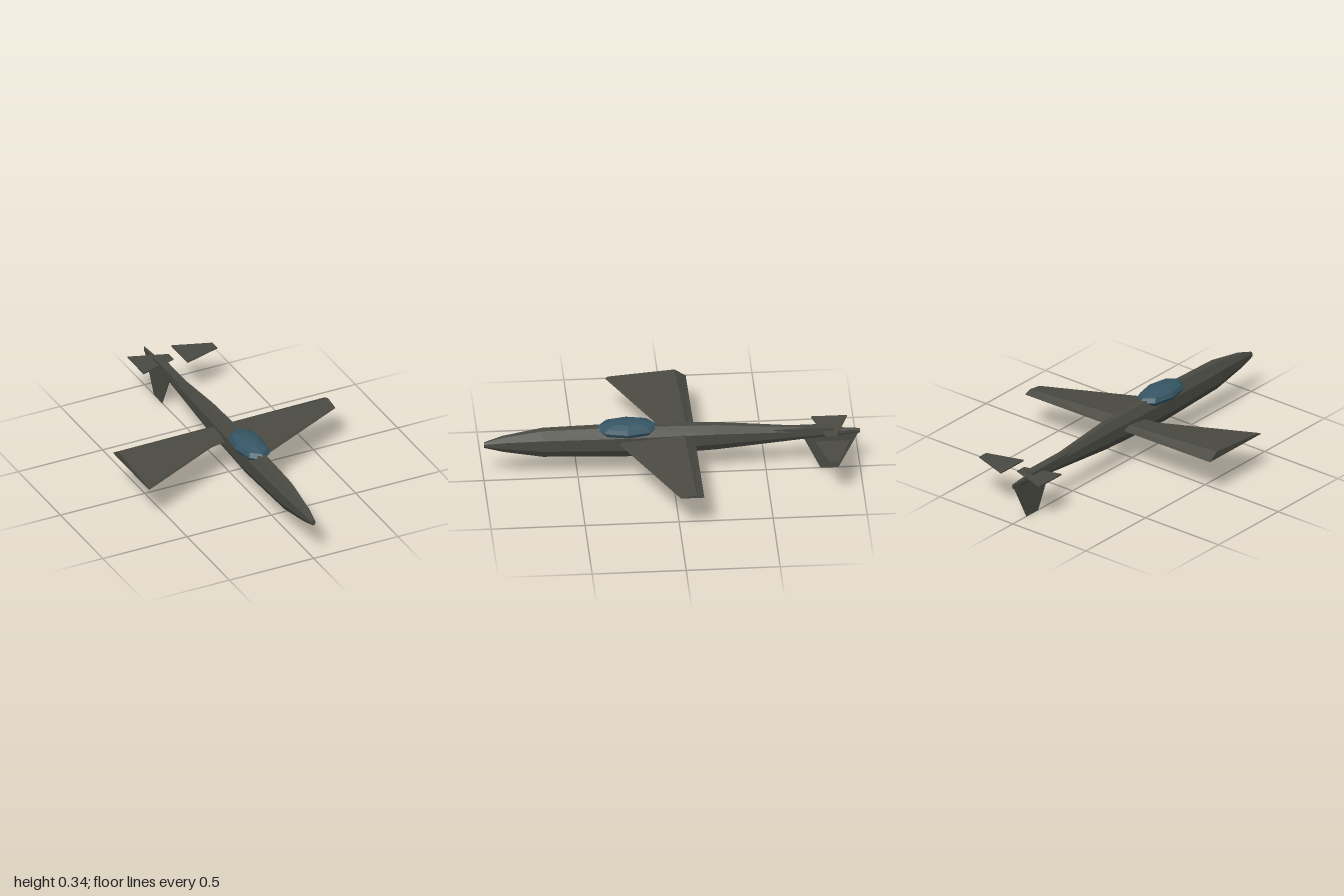
import * as THREE from 'three';

const grey = new THREE.MeshStandardMaterial({ color: 0x4a4a43, flatShading: true });
const glass = new THREE.MeshStandardMaterial({ color: 0x355564, flatShading: true });

// Skins a row of equal-length rings; each ring runs counterclockwise seen from outside the first end.
function loft(rings) {
  const n = rings[0].length, last = (rings.length - 1) * n, index = [];
  for (let i = 0; i < rings.length - 1; i++) {
    for (let j = 0; j < n; j++) {
      const k = (j + 1) % n, a = i * n, b = a + n;
      index.push(a + j, b + j, a + k, a + k, b + j, b + k);
    }
  }
  for (let j = 1; j < n - 1; j++) {
    index.push(0, j, j + 1, last, last + j + 1, last + j);
  }
  const geometry = new THREE.BufferGeometry();
  geometry.setAttribute('position', new THREE.Float32BufferAttribute(rings.flat(2), 3));
  geometry.setIndex(index);
  const flat = geometry.toNonIndexed();
  flat.computeVertexNormals();
  return flat;
}

// Wing section: flat base, blunt leading edge, crest near the trailing edge
function wingSection(x, lead, crest, trail, base, height) {
  return [
    [x, base, lead], [x, base, trail],
    [x, base + height, crest], [x, base + height * 0.3, lead - 0.04 * (lead - trail)],
  ];
}

// Thin horizontal strip section
const plateSection = (x, y, front, back, t) =>
  [[x, y - t, front], [x, y - t, back], [x, y + t, back], [x, y + t, front]];

// Thin upright strip section
const finSection = (y, front, back, t) =>
  [[-t, y, front], [t, y, front], [t, y, back], [-t, y, back]];

export function createModel() {
  const model = new THREE.Group();
  const add = (name, geometry, material = grey) => {
    const mesh = new THREE.Mesh(geometry, material);
    mesh.name = name;
    model.add(mesh);
    return mesh;
  };

  // Fuselage stations: z, half width, bottom, top
  const stations = [
    [1, 0.01, 0.205, 0.235], [0.9, 0.026, 0.18, 0.267], [0.69, 0.046, 0.145, 0.302],
    [0.24, 0.055, 0.13, 0.31], [-0.23, 0.042, 0.148, 0.298],
    [-0.7, 0.02, 0.187, 0.258], [-1, 0.004, 0.208, 0.235],
  ];
  add('fuselage', loft(stations.map(([z, w, low, high]) =>
    Array.from({ length: 8 }, (_, j) => {
      const a = (j + 0.5) * Math.PI / 4, r = 1 / Math.cos(Math.PI / 8);
      return [Math.cos(a) * r * w, (low + high) / 2 + Math.sin(a) * r * (high - low) / 2, z];
    }))));

  // Canopy
  const canopy = add('canopy', new THREE.SphereGeometry(1, 8, 6), glass);
  canopy.scale.set(0.087, 0.045, 0.173);
  canopy.position.set(0, 0.294, 0.24);

  // Both wing panels and tailplanes taper the same way, toward +x
  for (const [side, wingX, tailX] of [['right', -0.63, -0.13], ['left', 0, 0.13]]) {
    add(side + 'Wing', loft([
      wingSection(wingX + 0.63, 0, -0.085, -0.125, 0.222, 0.016),
      wingSection(wingX, 0.31, -0.06, -0.12, 0.222, 0.04),
    ]));
    add(side + 'Tailplane', loft([
      plateSection(tailX + 0.208, 0.237, -0.81, -0.87, 0.002),
      plateSection(tailX, 0.237, -0.75, -0.94, 0.004),
    ]));
  }

  // Short fillet under the wing root
  add('wingRootFillet', loft([
    wingSection(0, 0.04, -0.08, -0.12, 0.221, 0.02),
    wingSection(-0.23, 0.085, -0.075, -0.12, 0.221, 0.02),
  ]));

  // Tail boom spine
  const spine = add('tailSpine', new THREE.BoxGeometry(0.046, 0.04, 0.32));
  spine.position.set(0, 0.236, -0.7);

  // Fin below the tail
  add('ventralFin', loft([
    finSection(0.21, -0.69, -0.99, 0.003),
    finSection(0, -0.79, -0.885, 0.002),
  ]));

  return model;
}
